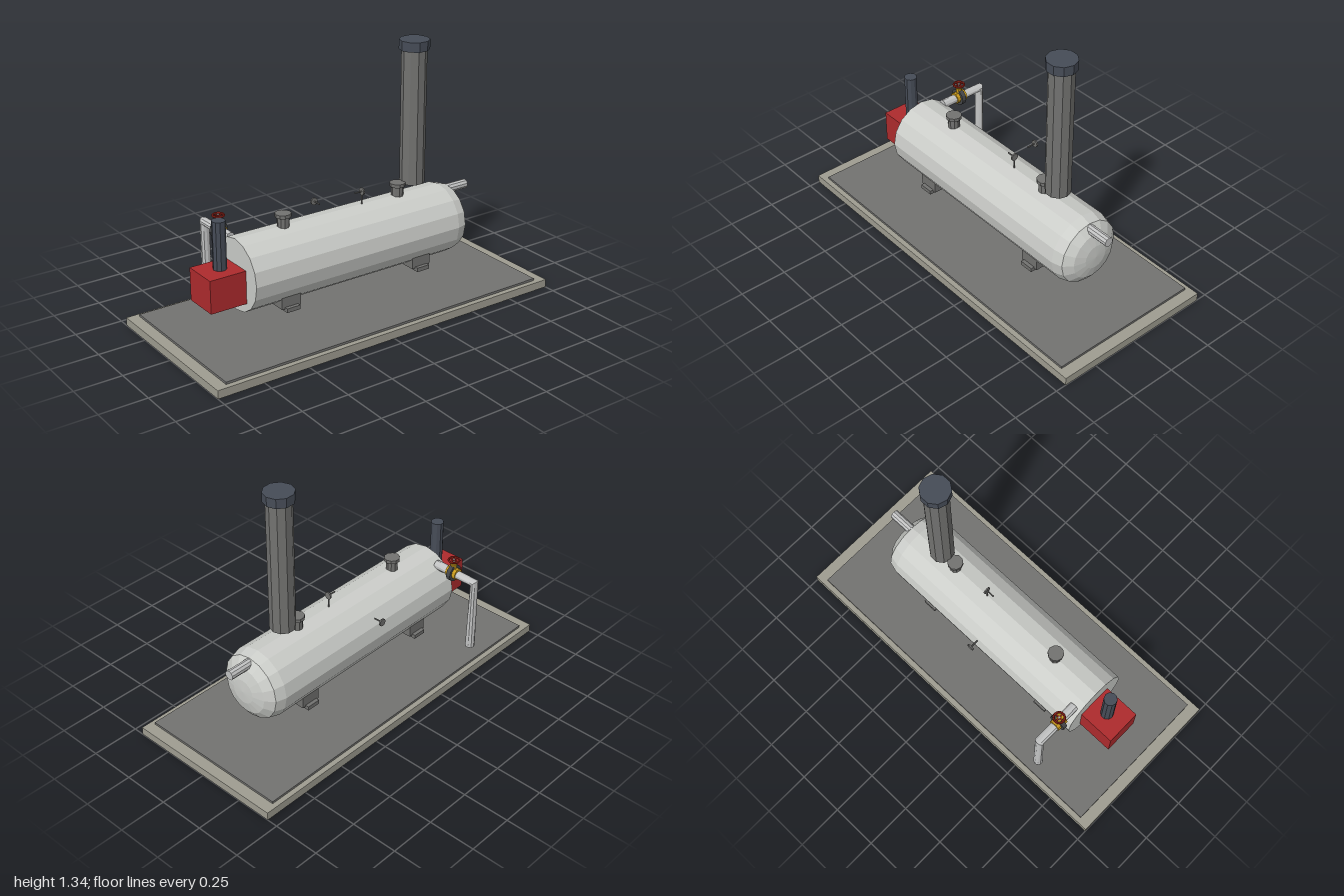
import * as THREE from 'three';

const mat = (name, color) => {
  const m = new THREE.MeshStandardMaterial({ color, flatShading: true });
  m.name = name;
  return m;
};

export function createModel() {
  const group = new THREE.Group();
  const shell = mat('paleShell', 0xcbcdc9);
  const pipe = mat('pipeGrey', 0xc2c3c3);
  const stone = mat('concrete', 0x9e9c90);
  const iron = mat('ironGrey', 0x727270);
  const slate = mat('slateBlue', 0x464c57);
  const red = mat('boxRed', 0xad2b2d);
  const brass = mat('brassYellow', 0xc99a1c);
  const wheelRed = mat('wheelRed', 0x99231a);
  const dark = mat('darkFlange', 0x454749);

  const add = (name, geo, m, x = 0, y = 0, z = 0, parent = group) => {
    const mesh = new THREE.Mesh(geo, m);
    mesh.name = name;
    mesh.position.set(x, y, z);
    parent.add(mesh);
    return mesh;
  };
  const box = (w, h, d) => new THREE.BoxGeometry(w, h, d);
  const cyl = (r, h, n = 10, axis = 'y') => {
    const g = new THREE.CylinderGeometry(r, r, h, n).rotateY(Math.PI / 2);
    if (axis === 'x') g.rotateZ(-Math.PI / 2);
    if (axis === 'z') g.rotateX(Math.PI / 2);
    return g;
  };

  // Ground slab
  add('slab', box(2, 0.043, 0.885), stone, 0, 0.0215, 0);
  add('slabTop', box(1.88, 0.02, 0.83), iron, 0, 0.045, 0);

  // Tank: flat on one end, domed on the other
  const profile = [[0, -0.625], [0.1875, -0.625], [0.1875, 0.61], [0.172, 0.665],
    [0.127, 0.7], [0.065, 0.716], [0, 0.72]].map(([r, h]) => new THREE.Vector2(r, h));
  add('tank', new THREE.LatheGeometry(profile, 16).rotateZ(-Math.PI / 2), shell, 0, 0.347, 0);
  add('endPipe', cyl(0.025, 0.2, 10, 'x'), pipe, 0.698, 0.491, 0);

  // Saddles and filler necks
  for (const x of [-0.4, 0.4]) {
    add('saddle', box(0.11, 0.062, 0.28), iron, x, 0.195, 0);
    add('saddleFoot', box(0.075, 0.022, 0.32), iron, x, 0.162, 0);
  }
  for (const x of [-0.35, 0.347]) {
    add('fillerNeck', cyl(0.031, 0.06), iron, x, 0.555, 0);
    add('fillerCap', cyl(0.041, 0.018), iron, x, 0.591, 0);
  }

  // Burner box with its vent
  add('burnerBox', box(0.2, 0.172, 0.19), red, -0.722, 0.315, 0);
  add('ventPipe', cyl(0.034, 0.25), slate, -0.711, 0.525, 0);

  // Chimney
  add('chimney', cyl(0.065, 0.71), iron, 0.441, 0.94, 0);
  add('chimneyCap', cyl(0.078, 0.05), slate, 0.441, 1.315, 0);

  // Gauges
  add('gaugeStem', cyl(0.004, 0.08, 6), iron, 0.122, 0.565, 0);
  add('gaugeStub', cyl(0.004, 0.045, 6, 'x'), iron, 0.1, 0.602, 0);
  add('gaugeDial', cyl(0.02, 0.008, 10, 'x'), iron, 0.124, 0.602, 0);
  add('sideGaugeStub', cyl(0.004, 0.05, 6, 'z'), iron, 0, 0.495, -0.222);
  add('sideGaugeDial', cyl(0.02, 0.008, 10, 'z'), iron, 0, 0.495, -0.247);

  // Outlet pipe: a ring at the start, a slanted ring at the elbow, a ring at the foot
  const rings = [ // centre y, z, then the direction of the ring's second axis in y, z
    [0.09, -0.356, 0, 1],
    [0.489, -0.36, -0.707, 0.707],
    [0.491, -0.11, -1, 0],
  ];
  const outlet = new THREE.CylinderGeometry(0.025, 0.025, 2, 10, 2);
  const p = outlet.attributes.position;
  for (let i = 0; i < p.count; i++) {
    const [cy, cz, uy, uz] = rings[Math.round(p.getY(i)) + 1];
    const u = p.getZ(i);
    p.setXYZ(i, p.getX(i), cy + u * uy, cz + u * uz);
  }
  outlet.computeVertexNormals();
  add('outletPipe', outlet, pipe, -0.582, 0, 0);

  // Valve
  const valve = new THREE.Group();
  valve.name = 'valve';
  valve.position.set(-0.582, 0.493, -0.222);
  group.add(valve);
  add('valveBody', cyl(0.031, 0.062, 10, 'z'), brass, 0, 0, 0, valve);
  add('valveFlange', cyl(0.046, 0.024, 12, 'z'), dark, 0, 0, 0, valve);
  add('valveBonnet', cyl(0.016, 0.055, 8), brass, 0, 0.028, 0, valve);
  add('valveStem', cyl(0.006, 0.04, 6), pipe, 0, 0.062, 0, valve);
  add('handWheel', new THREE.TorusGeometry(0.028, 0.006, 6, 14).rotateX(Math.PI / 2), wheelRed, 0, 0.076, 0, valve);
  add('wheelSpokeX', box(0.054, 0.006, 0.007), wheelRed, 0, 0.076, 0, valve);
  add('wheelSpokeZ', box(0.007, 0.006, 0.054), wheelRed, 0, 0.076, 0, valve);

  return group;
}
